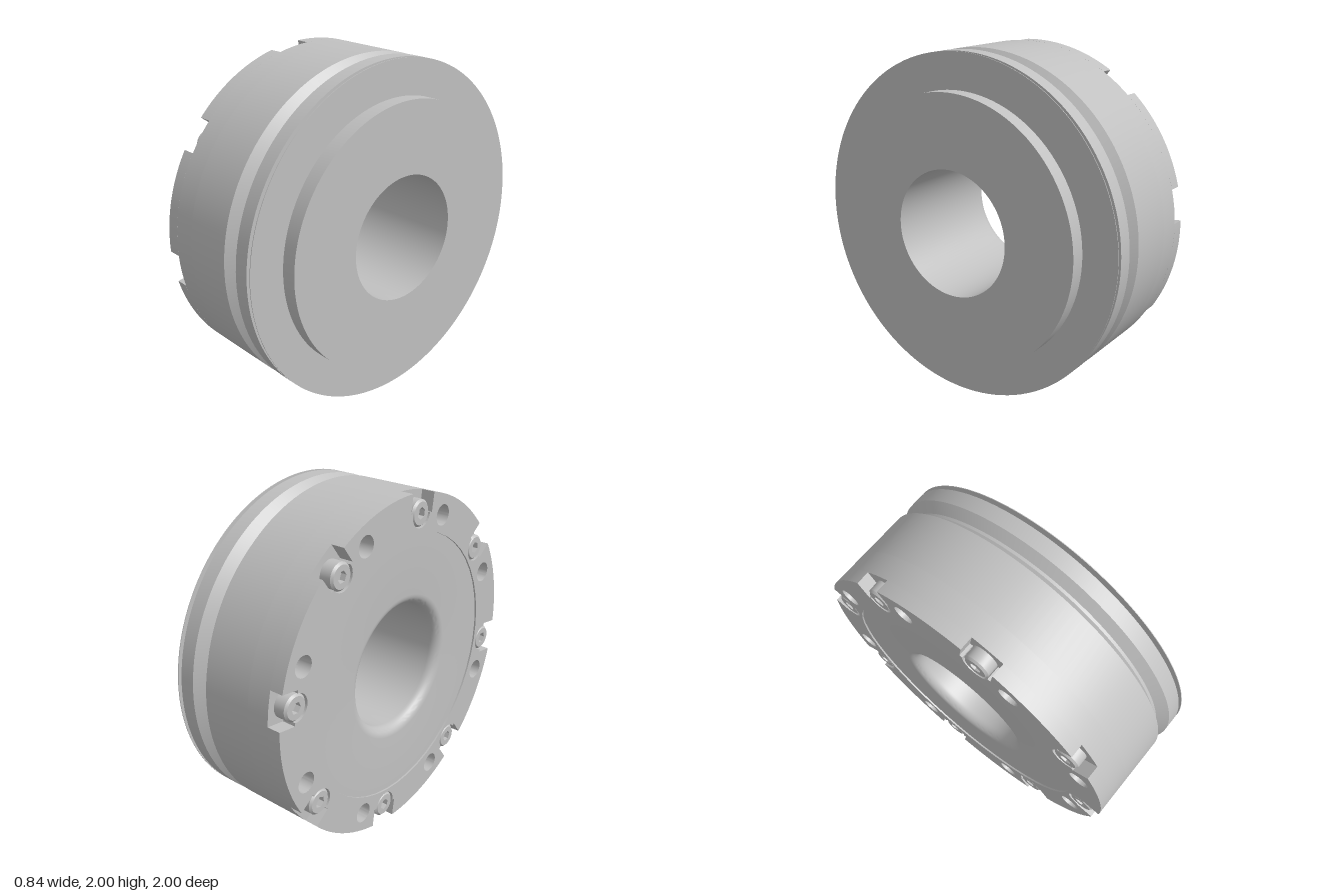
import * as THREE from 'three';
import { toCreasedNormals } from 'three/addons/utils/BufferGeometryUtils.js';

const STEP = Math.PI / 4;
const SLOT_ANGLE = 0.15;      // first slot, measured in the face plane
const BOLT_CIRCLE = 0.885;
const SLOT_HALF = 0.098;
const POCKET = 0.08;

const steel = new THREE.MeshStandardMaterial({ color: 0xc0c0c0 });
steel.name = 'steel grey';

function mesh(name, geometry) {
  const m = new THREE.Mesh(toCreasedNormals(geometry, 0.5), steel);
  m.name = name;
  return m;
}

// Revolve [radius, x] points about the x axis
function revolve(name, points, segments = 128) {
  const g = new THREE.LatheGeometry(points.map(([r, x]) => new THREE.Vector2(r, x)), segments);
  g.rotateZ(-Math.PI / 2);
  return mesh(name, g);
}

// Extrude a face-plane shape from x0 to x1
function slab(name, shape, x0, x1, curveSegments = 24) {
  const g = new THREE.ExtrudeGeometry(shape, { depth: x1 - x0, bevelEnabled: false, curveSegments });
  g.rotateY(Math.PI / 2);
  g.translate(x0, 0, 0);
  return mesh(name, g);
}

function circle(x, y, r, Type = THREE.Path) {
  return new Type().absarc(x, y, r, 0, Math.PI * 2, false);
}

// Centre opening and eight pin holes
function addHoles(shape) {
  shape.holes.push(circle(0, 0, 0.785));
  for (let k = 0; k < 8; k++) {
    const a = (k + 0.5) * STEP;
    shape.holes.push(circle(BOLT_CIRCLE * Math.cos(a), BOLT_CIRCLE * Math.sin(a), 0.06));
  }
  return shape;
}

// Rim outline with eight open slots, each with a rounded bolt pocket
function slottedRim() {
  const s = new THREE.Shape();
  const half = Math.asin(SLOT_HALF);
  for (let k = 0; k < 8; k++) {
    const a = SLOT_ANGLE + k * STEP;
    const c = Math.cos(a), n = Math.sin(a);
    const to = (r, t) => s.lineTo(r * c - t * n, r * n + t * c);
    if (k === 0) s.moveTo(Math.cos(a - half), Math.sin(a - half));
    to(BOLT_CIRCLE, -SLOT_HALF);
    to(BOLT_CIRCLE, -POCKET);
    s.absarc(BOLT_CIRCLE * c, BOLT_CIRCLE * n, POCKET, a - Math.PI / 2, a + Math.PI / 2, true);
    to(BOLT_CIRCLE, SLOT_HALF);
    to(Math.cos(half), SLOT_HALF);
    s.absarc(0, 0, 1, a + half, a + STEP - half, false);
  }
  return addHoles(s);
}

// Socket-head bolt, axis along x
function bolt() {
  const g = new THREE.Group();
  g.name = 'bolt';
  const head = circle(0, 0, 0.064, THREE.Shape);
  const hex = new THREE.Path();
  for (let i = 0; i < 6; i++) {
    const a = i * Math.PI / 3;
    hex[i ? 'lineTo' : 'moveTo'](0.034 * Math.cos(a), 0.034 * Math.sin(a));
  }
  hex.closePath();
  head.holes.push(hex);
  g.add(slab('boltHead', head, -0.418, -0.34, 16));
  g.add(revolve('boltRim', [[0.064, -0.418], [0.076, -0.406], [0.076, -0.34]], 32));
  g.add(revolve('socketFloor', [[0, -0.385], [0.05, -0.385]], 16));
  return g;
}

export function createModel() {
  const model = new THREE.Group();
  model.name = 'flangedHub';
  const hub = new THREE.Group();
  hub.name = 'hub';
  hub.position.y = 1;
  model.add(hub);

  // Core: rounded bore mouth, recessed face, V-groove, flange and raised boss
  const mouth = [];
  for (let i = 0; i <= 8; i++) {
    const a = i / 8 * Math.PI / 2;
    mouth.push([0.43 - 0.06 * Math.cos(a), -0.35 - 0.06 * Math.sin(a)]);
  }
  hub.add(revolve('core', [
    ...mouth, [0.785, -0.41], [0.785, -0.2], [1, -0.2],
    [1, 0.105], [0.945, 0.145], [0.945, 0.162], [1, 0.207],
    [1, 0.298], [0.793, 0.298], [0.793, 0.417], [0.37, 0.417], [0.37, -0.35],
  ]));

  // Thin plate standing just clear of the flange
  hub.add(revolve('thinPlate', [
    [0.793, 0.323], [1, 0.323], [1, 0.327], [0.793, 0.327],
  ]));

  // Slotted rim and the drilled ring behind it
  hub.add(slab('slottedRim', slottedRim(), -0.42, -0.34));
  hub.add(slab('drilledRing', addHoles(circle(0, 0, 1, THREE.Shape)), -0.34, -0.2, 64));

  // Bolts in the slots
  for (let k = 0; k < 8; k++) {
    const a = SLOT_ANGLE + k * STEP;
    const b = bolt();
    b.position.set(0, BOLT_CIRCLE * Math.sin(a), -BOLT_CIRCLE * Math.cos(a));
    b.rotation.x = a;
    hub.add(b);
  }
  return model;
}
